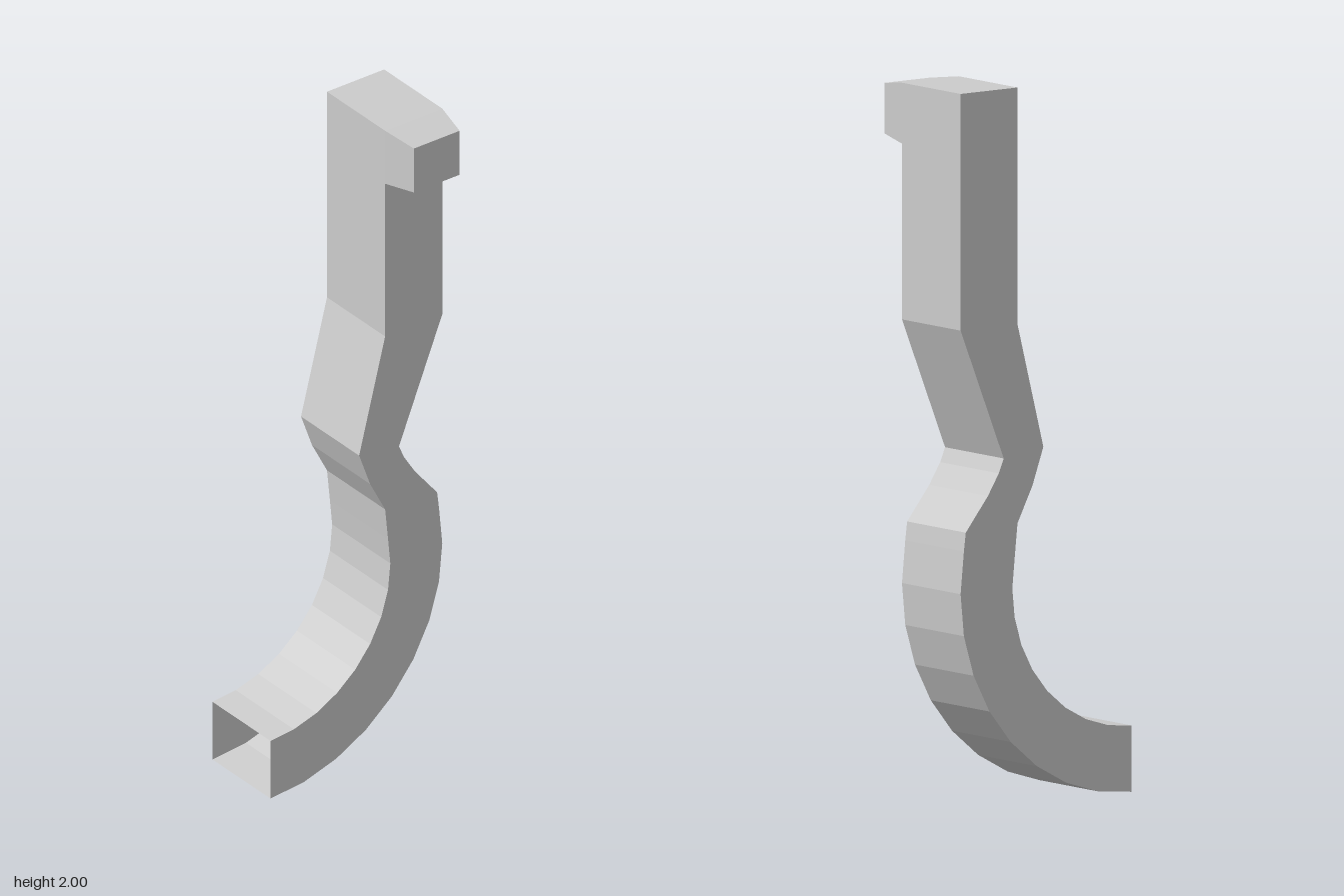
import * as THREE from 'three';

const BACK = -0.185, FRONT = 0.08, TIP = 0.185;

// Arc around the hook centre; angles in degrees, 0 = +x, -90 = straight down
function arc(rx, ry, angles) {
  return angles.map((d) => {
    const a = THREE.MathUtils.degToRad(d);
    return new THREE.Vector2(-0.3 + rx * Math.cos(a), 0.605 + ry * Math.sin(a));
  });
}

// Counter-clockwise outline, from the lower to the upper corner of the hook's end
function outline() {
  const angles = [];
  for (let i = -8; i <= 1; i++) angles.push(i * 11.25);
  const v = (x, y) => new THREE.Vector2(x, y);
  return [
    ...arc(0.595, 0.605, angles),
    v(0.277, 0.775), v(0.2, 0.87), v(0.162, 0.93), v(0.145, 0.97),
    v(0.295, 1.34), v(0.295, 2),
    v(0.097, 2), v(0.097, 1.34),
    v(0.007, 0.99), v(0.045, 0.885), v(0.097, 0.785),
    ...arc(0.415, 0.42, angles.reverse()),
  ];
}

// Walls along the outline, leaving the end of the hook open
function wallGeometry(points) {
  const pos = [];
  for (let i = 0; i < points.length - 1; i++) {
    const a = points[i], b = points[i + 1];
    pos.push(a.x, a.y, BACK, b.x, b.y, BACK, b.x, b.y, FRONT);
    pos.push(a.x, a.y, BACK, b.x, b.y, FRONT, a.x, a.y, FRONT);
  }
  const g = new THREE.BufferGeometry();
  g.setAttribute('position', new THREE.Float32BufferAttribute(pos, 3));
  g.computeVertexNormals();
  return g;
}

// Short block that tapers towards its front face
function headGeometry() {
  const g = new THREE.BoxGeometry(0.198, 0.17, TIP - FRONT);
  const p = g.attributes.position;
  for (let i = 0; i < p.count; i++) {
    if (p.getZ(i) > 0) p.setXY(i, p.getX(i) * 0.8, p.getY(i) * 0.83);
  }
  g.translate(0.196, 1.915, (TIP + FRONT) / 2);
  g.computeVertexNormals();
  return g;
}

export function createModel() {
  const group = new THREE.Group();
  group.name = 'hook';
  const grey = new THREE.MeshStandardMaterial({
    color: 0xcccccc, flatShading: true, side: THREE.DoubleSide,
  });
  grey.name = 'light grey';

  const add = (name, geometry) => {
    const mesh = new THREE.Mesh(geometry, grey);
    mesh.name = name;
    group.add(mesh);
  };

  const points = outline();
  const front = new THREE.ShapeGeometry(new THREE.Shape(points));
  const back = front.clone();

  // Reverse the corner order so the back faces -z
  back.setIndex(Array.from(back.index.array).reverse());
  back.computeVertexNormals();

  add('shankWalls', wallGeometry(points));
  add('frontFace', front.translate(0, 0, FRONT));
  add('backFace', back.translate(0, 0, BACK));
  add('head', headGeometry());
  return group;
}
